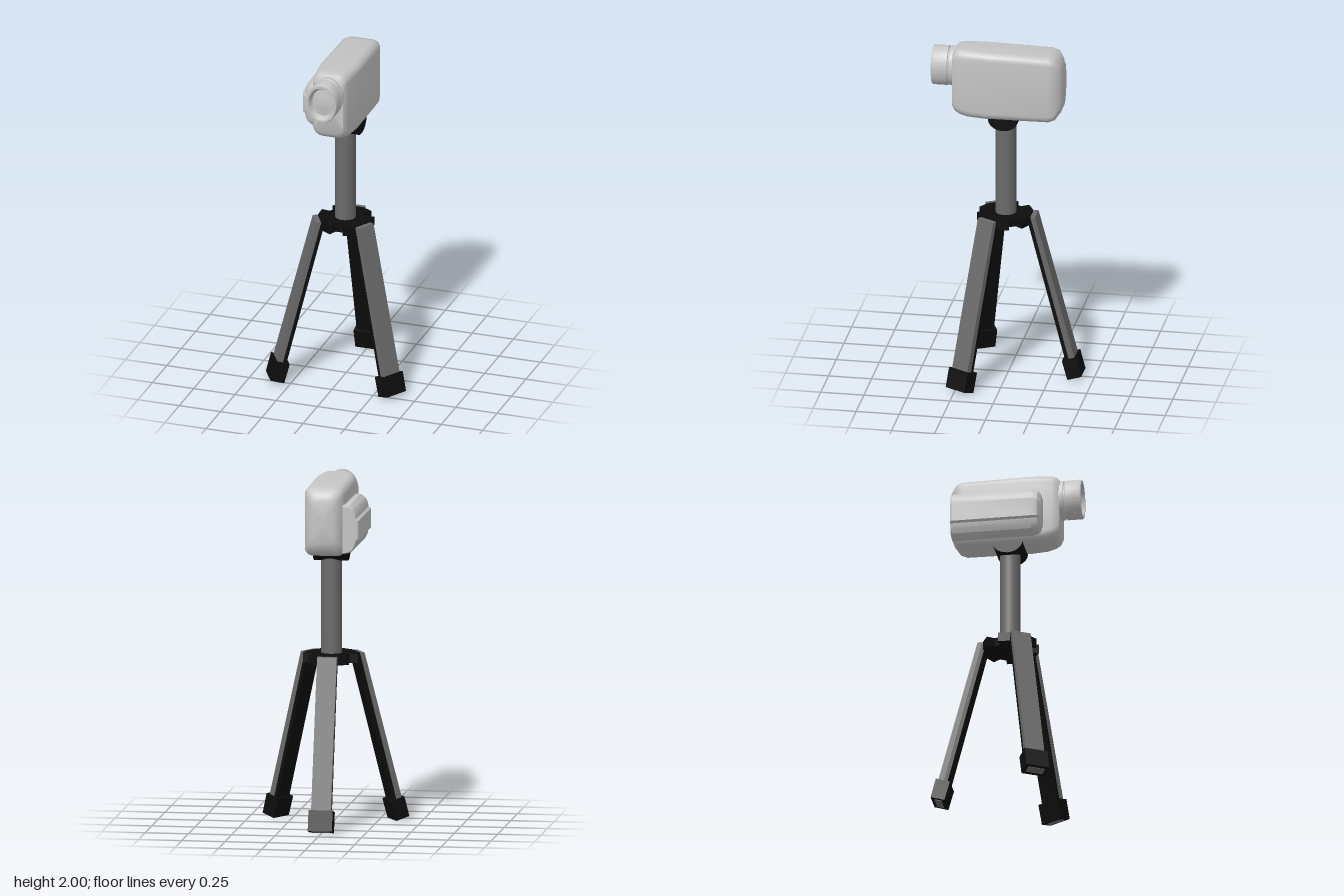
import * as THREE from 'three';
import { toCreasedNormals } from 'three/addons/utils/BufferGeometryUtils.js';

const CENTRE_Z = 0.015; // tripod axis
const LEG_ANGLES = [90, -30, 210].map(THREE.MathUtils.degToRad);

// Closed loft: sections are counter-clockwise rings ordered along +z
function loft(sections, crease) {
  const n = sections[0].length, pos = [], index = [];
  sections.forEach(ring => ring.forEach(p => pos.push(...p)));
  for (let i = 0; i < sections.length - 1; i++) {
    for (let j = 0; j < n; j++) {
      const k = (j + 1) % n, a = i * n + j, b = i * n + k;
      index.push(a, b, b + n, a, b + n, a + n);
    }
  }
  [0, sections.length - 1].forEach((s, end) => {
    const c = pos.length / 3;
    pos.push(...[0, 1, 2].map(d => sections[s].reduce((sum, p) => sum + p[d], 0) / n));
    for (let j = 0; j < n; j++) {
      const a = s * n + j, b = s * n + (j + 1) % n;
      index.push(c, end ? a : b, end ? b : a);
    }
  });
  const geo = new THREE.BufferGeometry();
  geo.setAttribute('position', new THREE.Float32BufferAttribute(pos, 3));
  geo.setIndex(index);
  return toCreasedNormals(geo, crease);
}

// Rounded rectangle ring at depth z
function roundedRing(z, hw, y0, y1, r) {
  const ring = [], corners = [[1, 1], [-1, 1], [-1, -1], [1, -1]];
  corners.forEach(([sx, sy], q) => {
    const cx = sx * (hw - r), cy = sy > 0 ? y1 - r : y0 + r;
    for (let i = 0; i <= 5; i++) {
      const a = (q + i / 5) * Math.PI / 2;
      ring.push([cx + r * Math.cos(a), cy + r * Math.sin(a), z]);
    }
  });
  return ring;
}

// Flat polygon extruded and centred on z
function slab(points, depth) {
  const shape = new THREE.Shape(points.map(p => new THREE.Vector2(...p)));
  return new THREE.ExtrudeGeometry(shape, { depth, bevelEnabled: false, curveSegments: 12 })
    .translate(0, 0, -depth / 2);
}

export function createModel() {
  const model = new THREE.Group();
  model.name = 'cameraOnTripod';
  const material = (name, color) => {
    const m = new THREE.MeshStandardMaterial({ color });
    m.name = name;
    return m;
  };
  const silver = material('silver', 0xc4c4c4);
  const grey = material('grey', 0x6a6a6a);
  const black = material('black', 0x0d0d0d);
  const add = (parent, name, geo, mat) => {
    const mesh = new THREE.Mesh(geo, mat);
    mesh.name = name;
    parent.add(mesh);
    return mesh;
  };

  // Camera body: z, half width, bottom, top, corner radius
  const body = [
    [-0.322, 0.06, 1.67, 1.91, 0.04], [-0.312, 0.08, 1.64, 1.945, 0.045],
    [-0.282, 0.106, 1.6, 1.98, 0.045], [-0.245, 0.115, 1.588, 1.989, 0.045],
    [0.12, 0.117, 1.585, 1.995, 0.045], [0.22, 0.109, 1.586, 1.998, 0.05],
    [0.27, 0.103, 1.595, 1.998, 0.055], [0.297, 0.098, 1.61, 1.99, 0.055],
    [0.312, 0.088, 1.635, 1.97, 0.05],
  ];
  add(model, 'cameraBody', loft(body.map(s => roundedRing(...s)), 0.7), silver);

  // Ribbed side pod with a tapered front end
  const pod = [
    [-0.11, 1.888], [-0.145, 1.886], [-0.172, 1.868], [-0.187, 1.84], [-0.191, 1.815],
    [-0.205, 1.805], [-0.205, 1.695], [-0.191, 1.685], [-0.186, 1.66],
    [-0.17, 1.63], [-0.145, 1.614], [-0.11, 1.608],
  ];
  const podRing = (z, s) => pod.map(([x, y]) => [-0.11 + (x + 0.11) * s, 1.75 + (y - 1.75) * (0.4 + 0.6 * s), z]);
  const podSections = [[-0.302, 0.93], [-0.29, 1], [0.165, 1], [0.2, 0.88], [0.213, 0.7], [0.222, 0.35]];
  add(model, 'sidePod', loft(podSections.map(s => podRing(...s)), 0.5), silver);

  // Oval lens barrel with groove and recessed glass
  const lensProfile = [
    [0, 0.27], [0.116, 0.27], [0.118, 0.332], [0.11, 0.336], [0.11, 0.34], [0.118, 0.344],
    [0.118, 0.43], [0.114, 0.436], [0.1, 0.436], [0.083, 0.405], [0.078, 0.405], [0.04, 0.414], [0, 0.417],
  ].map(p => new THREE.Vector2(...p));
  const lens = toCreasedNormals(new THREE.LatheGeometry(lensProfile, 32), 0.6);
  lens.rotateX(Math.PI / 2).scale(0.78, 1, 1).translate(0, 1.868, 0);
  add(model, 'lens', lens, silver);

  // Tripod
  const tripod = new THREE.Group();
  tripod.name = 'tripod';
  tripod.position.z = CENTRE_Z;
  model.add(tripod);

  // Tilt mount: a flattened half cylinder lying along x
  const arc = [];
  for (let i = 0; i <= 10; i++) {
    const a = Math.PI + i * Math.PI / 10;
    arc.push([0.087 * Math.cos(a), 1.59 + 0.068 * Math.sin(a)]);
  }
  add(tripod, 'tiltMount', slab(arc, 0.194).rotateY(Math.PI / 2), black);

  add(tripod, 'column', new THREE.CylinderGeometry(0.06, 0.06, 0.58, 24).translate(0, 1.25, 0), grey);

  // Notched hub holding the legs
  const hubPoints = [];
  LEG_ANGLES.slice().sort((a, b) => a - b).forEach(angle => {
    [[-46, 0.165], [-20, 0.158], [20, 0.158], [46, 0.165], [50, 0.115], [70, 0.115]].forEach(([d, r]) => {
      const a = angle + THREE.MathUtils.degToRad(d);
      hubPoints.push([r * Math.cos(a), r * Math.sin(a)]);
    });
  });
  add(tripod, 'hub', slab(hubPoints, 0.053).rotateX(-Math.PI / 2).translate(0, 0.963, 0), black);

  // Three legs, drawn as side profiles (distance from axis, height)
  LEG_ANGLES.forEach(angle => {
    const leg = new THREE.Group();
    leg.name = 'leg';
    leg.rotation.y = angle;
    tripod.add(leg);
    add(leg, 'legOuter', slab([[0.18, 0.986], [0.152, 0.986], [0.379, 0.11], [0.412, 0.12]], 0.114), grey);
    add(leg, 'legInner', slab([[0.152, 0.984], [0.135, 0.965], [0.358, 0.105], [0.379, 0.11]], 0.112), black);
    add(leg, 'foot', slab([[0.45, 0.025], [0.37, 0.001], [0.338, 0.115], [0.42, 0.14]], 0.14), black);
    add(leg, 'footPad', slab([[0.432, 0.0166], [0.39, 0.004], [0.389, 0.008], [0.431, 0.0206]], 0.1), grey);
  });

  return model;
}
